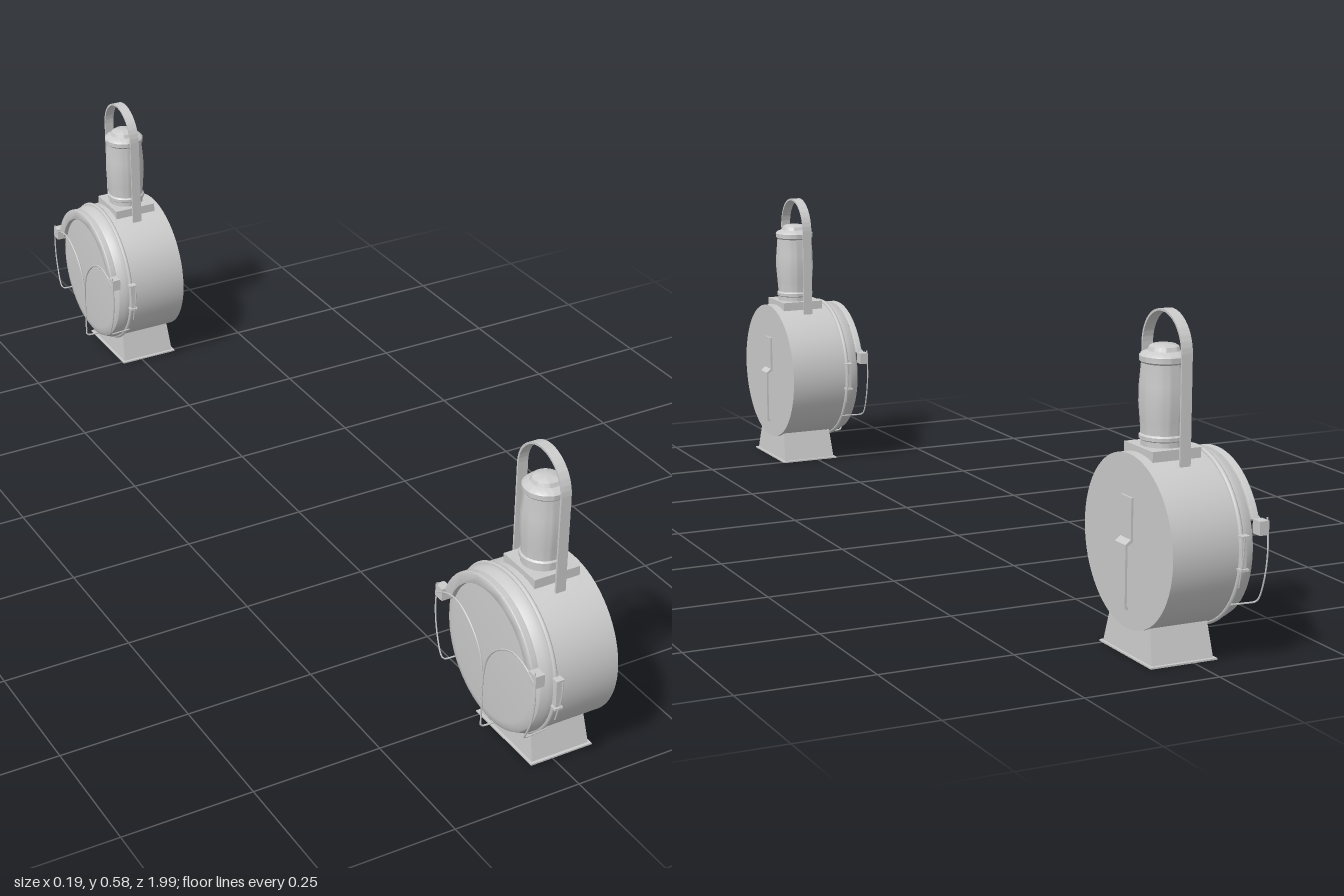
import * as THREE from 'three';
import { toCreasedNormals } from 'three/addons/utils/BufferGeometryUtils.js';

const mat = new THREE.MeshStandardMaterial({ color: 0xcccccc, side: THREE.DoubleSide });
const CY = 0.197; // height of the drum axis
const V2 = (x, y) => new THREE.Vector2(x, y);
const V3 = (x, y, z) => new THREE.Vector3(x, y, z);

function add(group, name, geometry, x = 0, y = 0, z = 0) {
  const mesh = new THREE.Mesh(geometry, mat);
  mesh.name = name;
  mesh.position.set(x, y, z);
  group.add(mesh);
  return mesh;
}

function lathe(points, segments) {
  return toCreasedNormals(new THREE.LatheGeometry(points.map(p => V2(...p)), segments), 0.6);
}

function wire(points, radius = 0.0016) {
  const curve = new THREE.CatmullRomCurve3(points.map(p => V3(...p)), false, 'centripetal');
  return new THREE.TubeGeometry(curve, 32, radius, 6);
}

function box(w, h, d) {
  return new THREE.BoxGeometry(w, h, d);
}

function createLantern() {
  const g = new THREE.Group();
  g.name = 'lantern';

  // Foot: tapered box on a thin flange
  const foot = box(0.118, 0.068, 0.168);
  const p = foot.attributes.position;
  for (let i = 0; i < p.count; i++) {
    if (p.getY(i) > 0) p.setXYZ(i, p.getX(i) * 0.92, p.getY(i), p.getZ(i) * 0.8);
  }
  foot.computeVertexNormals();
  add(g, 'foot', foot, 0.019, 0.034, 0);
  add(g, 'footFlange', box(0.127, 0.003, 0.178), 0.019, 0.0015, 0);

  // Drum lying along x, with a rounded lens edge
  const drum = lathe([[0, -0.08], [0.125, -0.08], [0.136, -0.079], [0.144, -0.074],
    [0.149, -0.062], [0.15, -0.055], [0.15, 0.08], [0, 0.08]], 64);
  drum.rotateZ(-Math.PI / 2);
  add(g, 'drum', drum, 0, CY, 0);

  // Clamp rim
  const rim = new THREE.TorusGeometry(0.1505, 0.0045, 8, 64);
  rim.rotateY(Math.PI / 2);
  add(g, 'clampRim', rim, -0.048, CY, 0);

  // Hood band over the upper part of the lens
  const a = 0.38;
  const hood = new THREE.Shape();
  hood.absarc(0, 0, 0.144, a, Math.PI - a, false);
  hood.absarc(0, 0, 0.128, Math.PI - a, a, true);
  const hoodGeo = new THREE.ExtrudeGeometry(hood, {
    depth: 0.009, curveSegments: 40, bevelEnabled: true,
    bevelSize: 0.003, bevelThickness: 0.003, bevelSegments: 2,
  });
  hoodGeo.rotateY(-Math.PI / 2);
  add(g, 'lensHood', toCreasedNormals(hoodGeo, 0.6), -0.078, CY, 0);

  // Lens guard, hood tabs and rim clips, mirrored
  for (const s of [-1, 1]) {
    add(g, 'guardArch', wire([[-0.094, 0.236, s * 0.152], [-0.094, 0.252, s * 0.12],
      [-0.094, 0.255, s * 0.085], [-0.094, 0.235, s * 0.045], [-0.094, 0.2, s * 0.014],
      [-0.094, 0.16, s * 0.002], [-0.094, 0.1, 0], [-0.094, 0.048, 0]], 0.0018));
    add(g, 'guardSide', wire([[-0.094, 0.255, s * 0.154], [-0.094, 0.2, s * 0.158],
      [-0.094, 0.15, s * 0.15], [-0.094, 0.112, s * 0.134], [-0.091, 0.106, s * 0.13],
      [-0.07, 0.105, s * 0.128], [-0.045, 0.105, s * 0.126]]));
    add(g, 'hoodTab', box(0.018, 0.024, 0.022), -0.086, 0.238, s * 0.148);
    add(g, 'clipLever', box(0.009, 0.055, 0.006), -0.048, 0.2, s * 0.157);
    for (const y of [0.172, 0.228]) {
      add(g, 'clipPin', box(0.016, 0.004, 0.014), -0.048, y, s * 0.157);
    }
    add(g, 'clipWire', wire([[-0.044, 0.228, s * 0.166], [-0.044, 0.19, s * 0.163],
      [-0.045, 0.14, s * 0.15]], 0.0014));
  }
  add(g, 'guardFoot', wire([[-0.094, 0.05, 0], [-0.091, 0.045, 0], [-0.048, 0.043, 0]], 0.0018));

  // Chimney plate and chimney
  add(g, 'chimneyPlate', box(0.092, 0.018, 0.096), 0.016, 0.348, 0);
  add(g, 'chimney', lathe([[0, 0.355], [0.037, 0.355], [0.037, 0.366], [0.04, 0.368],
    [0.04, 0.374], [0.037, 0.377], [0.039, 0.4], [0.0415, 0.43], [0.041, 0.46],
    [0.038, 0.496], [0.041, 0.499], [0.0415, 0.508], [0.038, 0.512], [0.033, 0.514],
    [0.028, 0.516], [0.025, 0.523], [0.02, 0.526], [0, 0.527]], 40), 0.016, 0, 0);

  // Carrying strap: thin band bent into an arch
  const strap = new THREE.Shape();
  strap.moveTo(0.067, 0.328);
  strap.lineTo(0.067, 0.518);
  strap.absarc(0, 0.518, 0.067, 0, Math.PI, false);
  strap.lineTo(-0.067, 0.328);
  strap.lineTo(-0.063, 0.328);
  strap.absarc(0, 0.518, 0.063, Math.PI, 0, true);
  strap.lineTo(0.063, 0.328);
  const strapGeo = new THREE.ExtrudeGeometry(strap, { depth: 0.02, bevelEnabled: false, curveSegments: 32 });
  strapGeo.rotateY(-Math.PI / 2);
  add(g, 'carryingStrap', toCreasedNormals(strapGeo, 0.6), 0.021, 0, 0);

  // Belt hook on the rear face, extruded from its side profile
  const hook = new THREE.Shape([[0.079, 0.275], [0.084, 0.275], [0.084, 0.204], [0.094, 0.196],
    [0.094, 0.086], [0.087, 0.083], [0.087, 0.087], [0.09, 0.09], [0.09, 0.193], [0.079, 0.2]]
    .map(q => V2(...q)));
  const hookGeo = new THREE.ExtrudeGeometry(hook, { depth: 0.036, bevelEnabled: false });
  add(g, 'beltHook', hookGeo, 0, 0, -0.018);
  return g;
}

export function createModel() {
  const model = new THREE.Group();
  model.name = 'lanternPair';
  for (const s of [-1, 1]) {
    const lantern = createLantern();
    lantern.position.z = s * 0.83;
    model.add(lantern);
  }
  return model;
}
